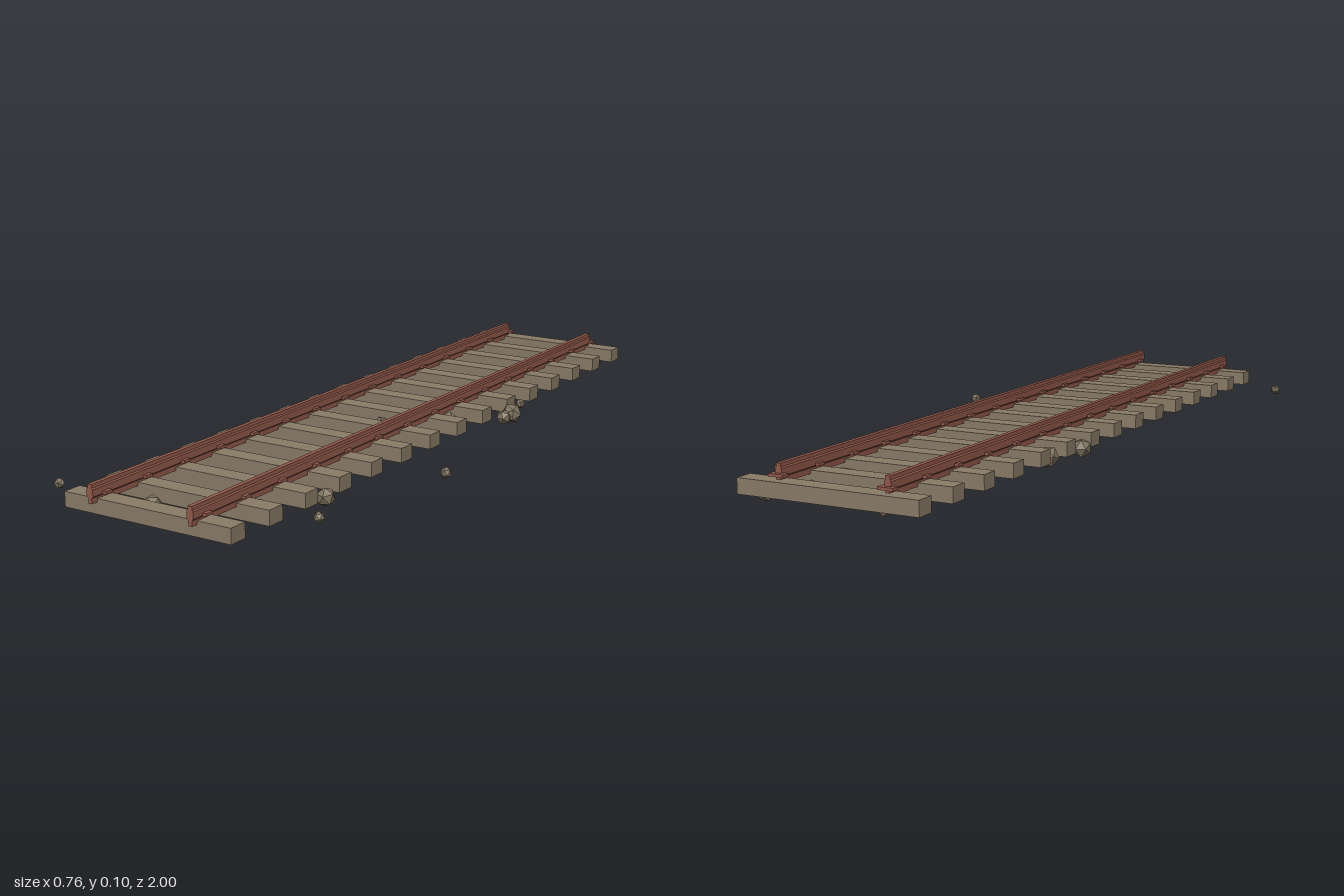
import * as THREE from 'three';

const timber = new THREE.MeshStandardMaterial({ color: 0x897b67 });
timber.name = 'weathered timber';
const rust = new THREE.MeshStandardMaterial({ color: 0x92594a });
rust.name = 'rusty steel';
const stone = new THREE.MeshStandardMaterial({ color: 0x7e725f });
stone.name = 'ballast stone';
stone.flatShading = true;

const SLEEPERS = 15;
const RAIL_X = [-0.15, 0.133];

// Loose stones: x, z, radius
const STONES = [
  [-0.17, -0.875, 0.014], [-0.08, -0.888, 0.013], [0.1, -0.765, 0.027], [0.12, -0.862, 0.014],
  [-0.06, -0.58, 0.013], [-0.207, -0.34, 0.028], [-0.233, -0.207, 0.026], [0.222, -0.352, 0.014],
  [0.249, -0.251, 0.028], [0.249, -0.204, 0.021], [0.1, -0.23, 0.027], [0.143, -0.087, 0.028],
  [0.135, -0.062, 0.02], [0, 0.024, 0.018], [0.365, 0.31, 0.015], [-0.196, 0.484, 0.025],
  [0.222, 0.616, 0.024], [0.29, 0.743, 0.014], [-0.18, 0.76, 0.014], [0.127, 0.74, 0.014],
  [-0.37, 0.865, 0.014], [-0.083, 0.87, 0.024], [-0.058, 0.938, 0.024],
  [0.17, -0.972, 0.02], [-0.14, -0.972, 0.02],
];

function addMesh(parent, name, geometry, material, x, y, z) {
  const mesh = new THREE.Mesh(geometry, material);
  mesh.name = name;
  mesh.position.set(x, y, z);
  parent.add(mesh);
  return mesh;
}

// Rail section: narrow web below, wider head, small crown
function railGeometry(length) {
  const half = [[0.005, 0.054], [0.005, 0.067], [0.009, 0.071], [0.009, 0.088], [0.006, 0.091], [0.006, 0.1]];
  const right = half.map(([x, y]) => new THREE.Vector2(x, y));
  const left = half.map(([x, y]) => new THREE.Vector2(-x, y)).reverse();
  return new THREE.ExtrudeGeometry(new THREE.Shape([...right, ...left]), { depth: length, bevelEnabled: false });
}

export function createModel() {
  const track = new THREE.Group();
  track.name = 'railwayTrack';

  // Sleepers, each with a clip under both rails
  const sleeperGeo = new THREE.BoxGeometry(0.471, 0.0375, 0.05);
  const clipGeo = new THREE.BoxGeometry(0.039, 0.007, 0.022);
  for (let i = 0; i < SLEEPERS; i++) {
    const z = -0.975 + i * 0.138;
    addMesh(track, 'sleeper', sleeperGeo, timber, -0.0075, 0.0437, z);
    for (const x of RAIL_X) addMesh(track, 'railClip', clipGeo, rust, x, 0.0735, z);
  }

  // Rails
  const railGeo = railGeometry(1.975);
  for (const x of RAIL_X) addMesh(track, 'rail', railGeo, rust, x, 0, -0.975);

  // Stones scattered around and beneath the sleepers
  const stoneGeo = new THREE.IcosahedronGeometry(1, 0);
  STONES.forEach(([x, z, r], i) => {
    const rock = addMesh(track, 'stone', stoneGeo, stone, x, 0.028, z);
    rock.scale.set(r, r, r);
    rock.rotation.set(i * 0.7, i * 1.9, 0);
  });

  return track;
}
